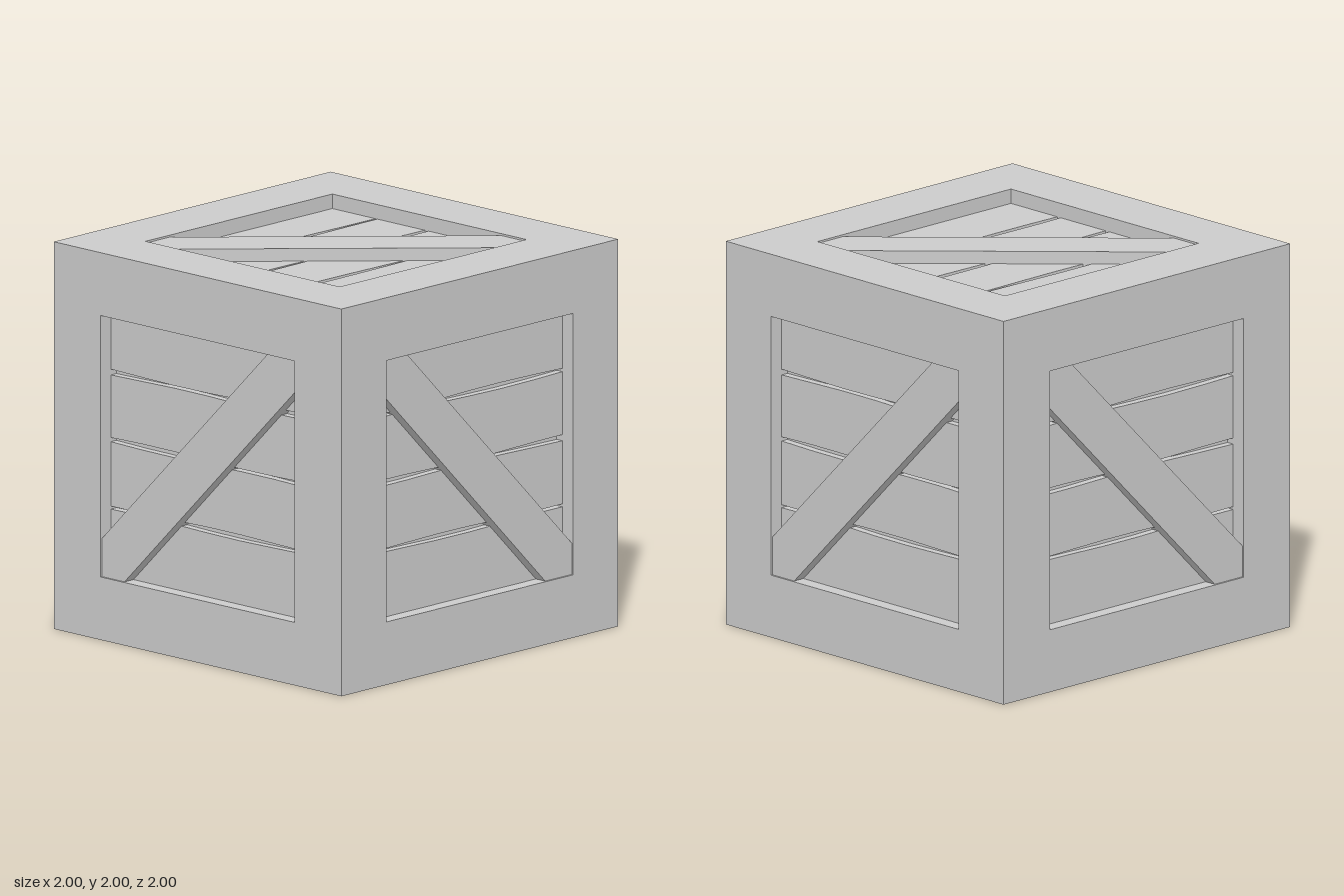
import * as THREE from 'three';

const HOLE = 0.675;      // half width of the opening in each face
const WALL = 0.15;       // frame thickness
const PLANK_TOP = 0.925; // distance of plank surface from the crate centre
const CORE = 0.885;      // half width of the backing behind the planks

const material = new THREE.MeshStandardMaterial({ color: 0xcccccc, flatShading: true });

function part(name, geometry) {
  const mesh = new THREE.Mesh(geometry, material);
  mesh.name = name;
  return mesh;
}

function extrude(points, depth, z, hole) {
  const toVectors = (list) => list.map(([x, y]) => new THREE.Vector2(x, y));
  const shape = new THREE.Shape(toVectors(points));
  if (hole) shape.holes.push(new THREE.Path(toVectors(hole)));
  return new THREE.ExtrudeGeometry(shape, { depth, bevelEnabled: false }).translate(0, 0, z);
}

const square = (h) => [[-h, -h], [h, -h], [h, h], [-h, h]];

// Square frame whose outer rim is mitred at 45 degrees to meet its neighbours
function frameGeometry() {
  const geometry = extrude(square(1), WALL, 1 - WALL, square(HOLE));
  const p = geometry.attributes.position;
  for (let i = 0; i < p.count; i++) {
    const rim = Math.max(Math.abs(p.getX(i)), Math.abs(p.getY(i))) > 0.9;
    if (rim && p.getZ(i) < 0.95) p.setXY(i, p.getX(i) * (1 - WALL), p.getY(i) * (1 - WALL));
  }
  geometry.computeVertexNormals();
  return geometry;
}

// Four boards with slightly uneven edges, separated by narrow gaps
function planks(seed) {
  const group = new THREE.Group();
  group.name = 'planks';
  const seams = [-0.69, -0.33, 0.02, 0.37, 0.69];
  const edge = (i, side) => {
    const points = [];
    const outer = i === 0 || i === seams.length - 1;
    for (let k = 0; k <= 6; k++) {
      const x = -0.69 + 0.23 * k;
      const wobble = 0.005 * Math.sin(k * 1.1 + i * 2.3 + side * 1.7 + seed);
      points.push([x, seams[i] + (outer ? 0 : side * 0.011 + wobble)]);
    }
    return points;
  };
  for (let i = 0; i < 4; i++) {
    const outline = [...edge(i, 1), ...edge(i + 1, -1).reverse()];
    group.add(part('plank', extrude(outline, PLANK_TOP - CORE + 0.01, CORE - 0.01)));
  }
  return group;
}

// Diagonal brace running corner to corner, clipped to the opening
function brace(offset, mirror) {
  const lo = offset - 0.177, hi = offset + 0.177, h = HOLE;
  const outline = [[-h, -h], [-h - lo, -h], [h, h + lo], [h, h], [h - hi, h], [-h, -h + hi]];
  return part('diagonalBrace', extrude(outline.map(([x, y]) => [x * mirror, y]), 0.99 - CORE, CORE));
}

export function createModel() {
  const model = new THREE.Group();
  model.name = 'crate';
  const crate = new THREE.Group();
  crate.name = 'crateBody';
  crate.position.y = 1;
  model.add(crate);

  crate.add(part('innerCore', new THREE.BoxGeometry(CORE * 2, CORE * 2, CORE * 2)));

  const q = Math.PI / 2;
  const frame = frameGeometry();
  const sides = [
    { name: 'frontPanel', rot: [0, 0], offset: 0.02, mirror: 1, turn: 0 },
    { name: 'backPanel', rot: [0, 2 * q], offset: 0.02, mirror: 1, turn: 0 },
    { name: 'leftPanel', rot: [0, q], offset: -0.015, mirror: -1, turn: 0 },
    { name: 'rightPanel', rot: [0, -q], offset: -0.015, mirror: -1, turn: 0 },
    { name: 'topPanel', rot: [-q, 0], offset: 0, mirror: 1, turn: q },
    { name: 'bottomPanel', rot: [q, 0], offset: 0, mirror: 1, turn: q },
  ];
  sides.forEach(({ name, rot, offset, mirror, turn }, i) => {
    const panel = new THREE.Group();
    panel.name = name;
    const boards = planks(Math.floor(i / 2) * 1.3);
    boards.rotation.z = turn;
    panel.add(part('frame', frame), boards, brace(offset, mirror));
    panel.rotation.set(rot[0], rot[1], 0);
    crate.add(panel);
  });
  return model;
}
